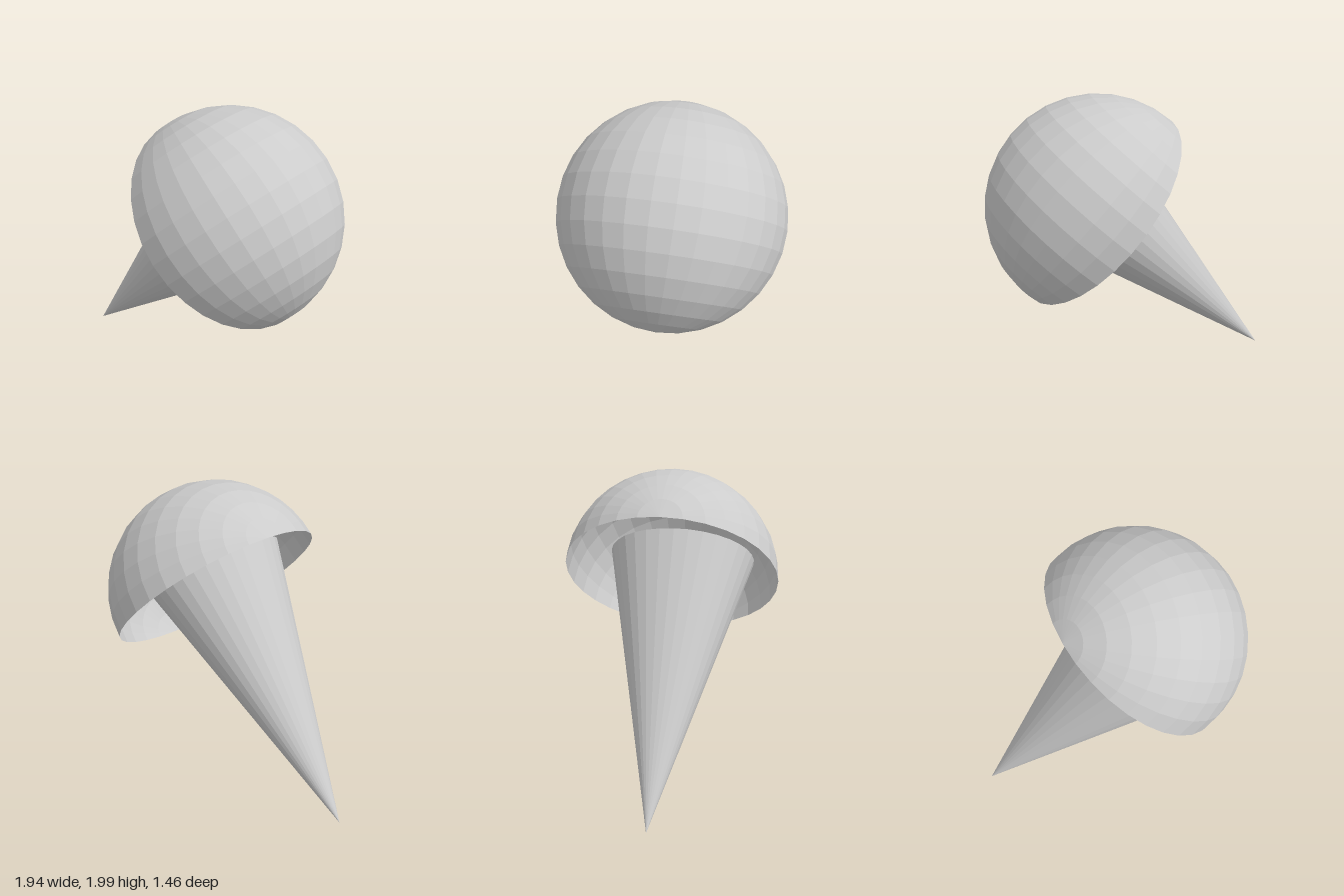
import * as THREE from 'three';

export function createModel() {
  const model = new THREE.Group();
  const material = new THREE.MeshStandardMaterial({
    color: 0xcccccc, flatShading: true, side: THREE.DoubleSide,
  });

  // Open half sphere: poles lie on the rim, dome bulges up and to +x
  const domeGeometry = new THREE.SphereGeometry(0.732, 16, 16, 0, Math.PI);
  domeGeometry.rotateY(Math.PI / 2);
  const dome = new THREE.Mesh(domeGeometry, material);
  dome.name = 'scoopDome';
  dome.position.set(0.241, 1.268, 0);
  dome.rotation.z = 0.755;
  model.add(dome);

  // Oval cone from its tip near the ground up into the dome, wider along z
  const length = 1.9;
  const tip = new THREE.Vector3(-0.972, 0.005, 0.03);
  const axis = new THREE.Vector3(0.69, 0.724, 0.017).normalize();
  const coneGeometry = new THREE.ConeGeometry(length * 0.211, length, 32);
  coneGeometry.translate(0, -length / 2, 0); // tip at the local origin
  coneGeometry.scale(1, 1, 1.24);
  const cone = new THREE.Mesh(coneGeometry, material);
  cone.name = 'cone';
  cone.position.copy(tip);
  cone.quaternion.setFromUnitVectors(new THREE.Vector3(0, -1, 0), axis);
  model.add(cone);

  return model;
}
